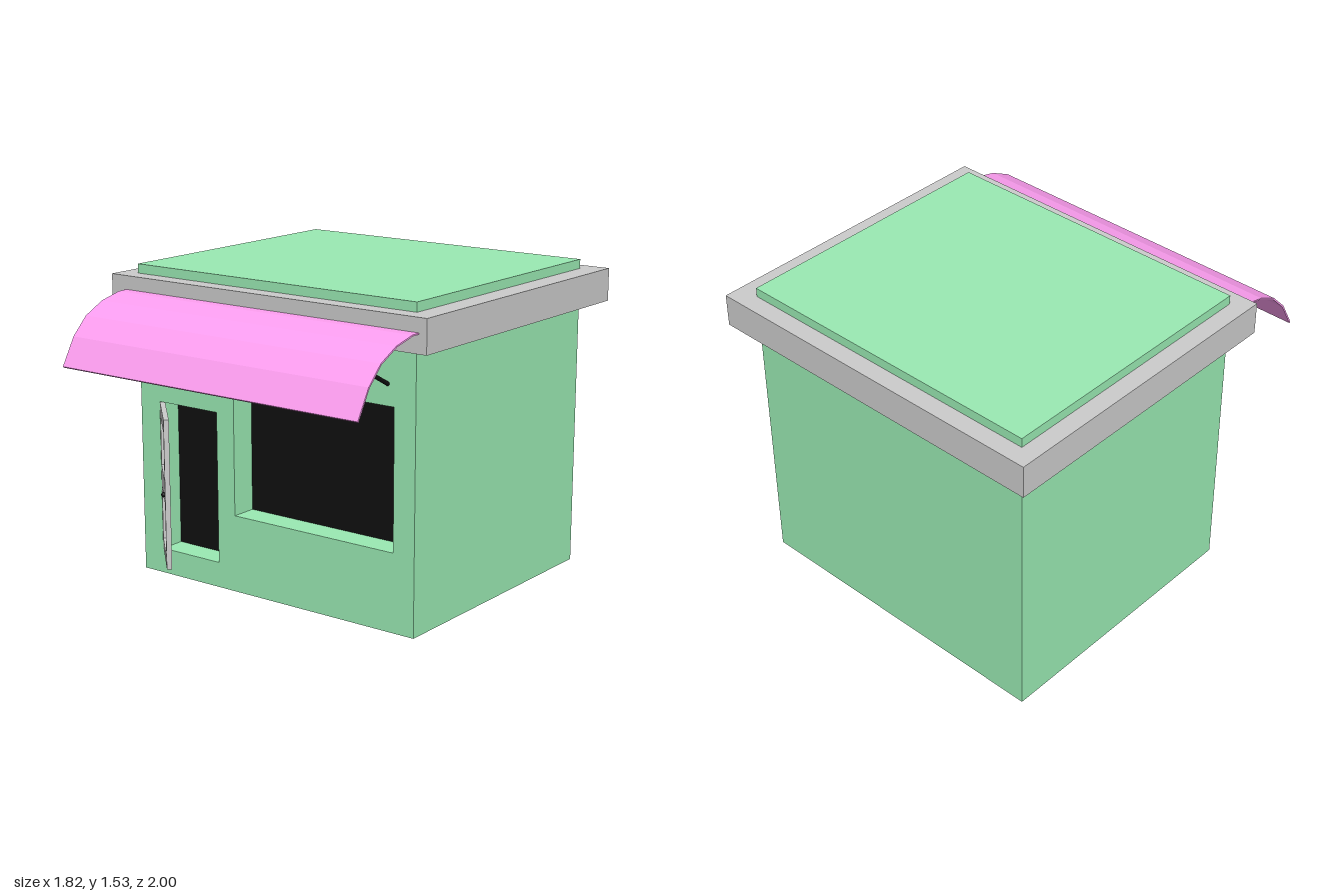
import * as THREE from 'three';

const mat = (color, extra = {}) => new THREE.MeshStandardMaterial({ color, ...extra });
const green = mat(0x9aeab3);
const grey = mat(0xcccccc);
const black = mat(0x101010);
const pink = mat(0xff9ff2, { side: THREE.DoubleSide, flatShading: true });

function add(parent, name, geometry, material) {
  const mesh = new THREE.Mesh(geometry, material);
  mesh.name = name;
  parent.add(mesh);
  return mesh;
}

// Box given by its lower and upper corners
function box(parent, name, [x0, y0, z0], [x1, y1, z1], material) {
  const mesh = add(parent, name, new THREE.BoxGeometry(x1 - x0, y1 - y0, z1 - z0), material);
  mesh.position.set((x0 + x1) / 2, (y0 + y1) / 2, (z0 + z1) / 2);
  return mesh;
}

function rect(Type, [x0, y0, x1, y1]) {
  return new Type([[x0, y0], [x1, y0], [x1, y1], [x0, y1]].map(p => new THREE.Vector2(...p)));
}

// Flat slab with rectangular openings, its front face at z = front
function slab(parent, name, outline, openings, depth, front, material) {
  const shape = rect(THREE.Shape, outline);
  shape.holes = openings.map(o => rect(THREE.Path, o));
  const geometry = new THREE.ExtrudeGeometry(shape, { depth, bevelEnabled: false });
  geometry.translate(0, 0, front - depth);
  return add(parent, name, geometry, material);
}

function strut(parent, name, from, to, radius, material) {
  const a = new THREE.Vector3(...from), b = new THREE.Vector3(...to);
  const mesh = add(parent, name, new THREE.CylinderGeometry(radius, radius, a.distanceTo(b), 12), material);
  mesh.position.copy(a).lerp(b, 0.5);
  mesh.quaternion.setFromUnitVectors(new THREE.Vector3(0, 1, 0), b.sub(a).normalize());
}

export function createModel() {
  const shop = new THREE.Group();
  shop.name = 'shop';

  // Walls: solid body behind a front wall with deep openings
  const front = 0.48, reveal = 0.135;
  const doorway = [-0.70, 0.125, -0.34, 0.87];
  const window_ = [-0.235, 0.38, 0.685, 1.05];
  box(shop, 'body', [-0.82, 0, -0.91], [0.80, 1.53, front - reveal], green);
  slab(shop, 'frontWall', [-0.82, 0, 0.80, 1.53], [doorway, window_], reveal, front, green);
  for (const [name, [x0, y0, x1, y1]] of [['doorwayDark', doorway], ['windowPane', window_]]) {
    box(shop, name, [x0, y0, front - reveal - 0.01], [x1, y1, front - reveal + 0.004], black);
  }

  // Cornice running around the roof
  box(shop, 'cornice', [-0.91, 1.325, -1], [0.91, 1.485, 0.565], grey);

  // Door leaf standing open at 45 degrees
  const door = new THREE.Group();
  door.name = 'door';
  door.position.set(-0.70, 0, front);
  door.rotation.y = -Math.PI / 4;
  shop.add(door);
  const panes = [[0.028, 0.185, 0.325, 0.45], [0.028, 0.56, 0.322, 0.80]];
  const leaf = [0, 0.135, 0.354, 0.868];
  slab(door, 'doorFrame', leaf, panes, 0.018, 0, grey);
  slab(door, 'doorBack', leaf, [], 0.007, -0.018, grey);
  for (const [x0, y0, x1, y1] of panes) {
    box(door, 'doorPane', [x0, y0, -0.02], [x1, y1, -0.016], black);
  }
  add(door, 'doorKnob', new THREE.SphereGeometry(0.012, 16, 10), black).position.set(0.335, 0.5, 0.006);

  // Curved awning: thin profile in (z, y), extruded along x
  const curve = [[0.48, 1.42], [0.615, 1.417], [0.73, 1.39], [0.84, 1.335], [0.925, 1.25], [1, 1.12]];
  const inner = curve.map(([z, y]) => [z - 0.006, y - 0.006]).reverse();
  const profile = new THREE.Shape([...curve, ...inner].map(([z, y]) => new THREE.Vector2(z, y)));
  const awning = new THREE.ExtrudeGeometry(profile, { depth: 1.69, bevelEnabled: false });
  awning.rotateY(-Math.PI / 2); // profile x becomes z, depth becomes -x
  awning.translate(0.87, 0, 0);
  add(shop, 'awning', awning, pink);

  // Awning supports
  for (const x of [-0.62, 0.65]) {
    strut(shop, 'awningStrut', [x, 1.15, front], [x, 1.332, 0.82], 0.01, black);
  }
  return shop;
}
